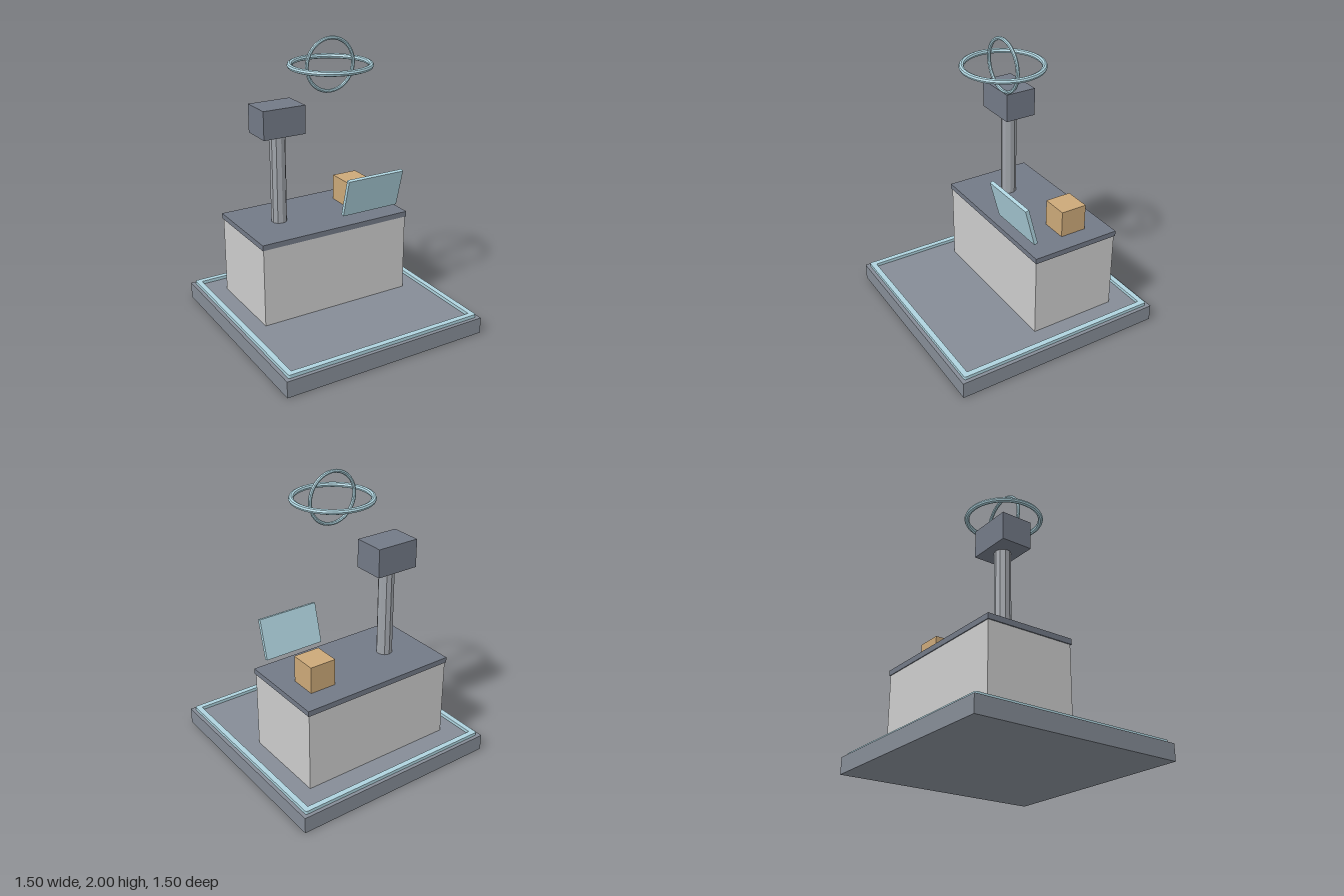
import * as THREE from 'three';

const mat = (color) => new THREE.MeshStandardMaterial({ color, flatShading: true });

export function createModel() {
  const group = new THREE.Group();
  const slate = mat(0x858c96);
  const dark = mat(0x727986);
  const steel = mat(0xa0a4aa);
  const grey = mat(0xcccccc);
  const paleBlue = mat(0xaed3de);
  const tan = mat(0xcba878);

  const add = (name, geometry, material, x, y, z) => {
    const mesh = new THREE.Mesh(geometry, material);
    mesh.name = name;
    mesh.position.set(x, y, z);
    group.add(mesh);
    return mesh;
  };
  const box = (name, w, h, d, material, x, y, z) =>
    add(name, new THREE.BoxGeometry(w, h, d), material, x, y, z);

  // Square platform
  box('platform', 1.5, 0.115, 1.5, slate, 0, 0.0575, 0);

  // Raised border: square frame with slightly rounded outer corners
  const o = 0.725, r = 0.012, i = 0.687;
  const frame = new THREE.Shape();
  [[1, 1], [-1, 1], [-1, -1], [1, -1]].forEach(([sx, sy], k) => {
    const a = k * Math.PI / 2;
    frame.absarc(sx * (o - r), sy * (o - r), r, a, a + Math.PI / 2, false);
  });
  frame.closePath();
  frame.holes.push(new THREE.Path([[-i, -i], [-i, i], [i, i], [i, -i]]
    .map(([x, y]) => new THREE.Vector2(x, y))).closePath());
  const border = add('platformBorder',
    new THREE.ExtrudeGeometry(frame, { depth: 0.023, bevelEnabled: false, curveSegments: 4 }),
    paleBlue, 0, 0.115, 0);
  border.rotation.x = -Math.PI / 2;

  // Counter, with everything at the back centred on its depth
  const cz = -0.218;
  box('counterBody', 1.12, 0.557, 0.624, grey, 0, 0.3935, cz);
  box('counterTop', 1.136, 0.038, 0.637, dark, 0, 0.691, cz);

  // Post with block head
  add('post', new THREE.CylinderGeometry(0.055, 0.055, 0.63, 10), steel, -0.281, 1.025, cz);
  box('postHead', 0.31, 0.197, 0.223, dark, -0.281, 1.44, cz);

  // Small crate and floating screen, its top leaning forward
  box('crate', 0.187, 0.186, 0.187, tan, 0.343, 0.803, -0.281);
  const screen = box('screen', 0.436, 0.28, 0.026, paleBlue, 0.281, 0.908, 0.093);
  screen.rotation.x = 0.26;

  // Floating crossed rings
  const wide = add('horizontalRing', new THREE.TorusGeometry(0.263, 0.0178, 8, 40), paleBlue, 0, 1.815, 0);
  wide.rotation.x = Math.PI / 2;
  add('verticalRing', new THREE.TorusGeometry(0.173, 0.0125, 8, 36), paleBlue, 0, 1.815, 0);

  return group;
}
